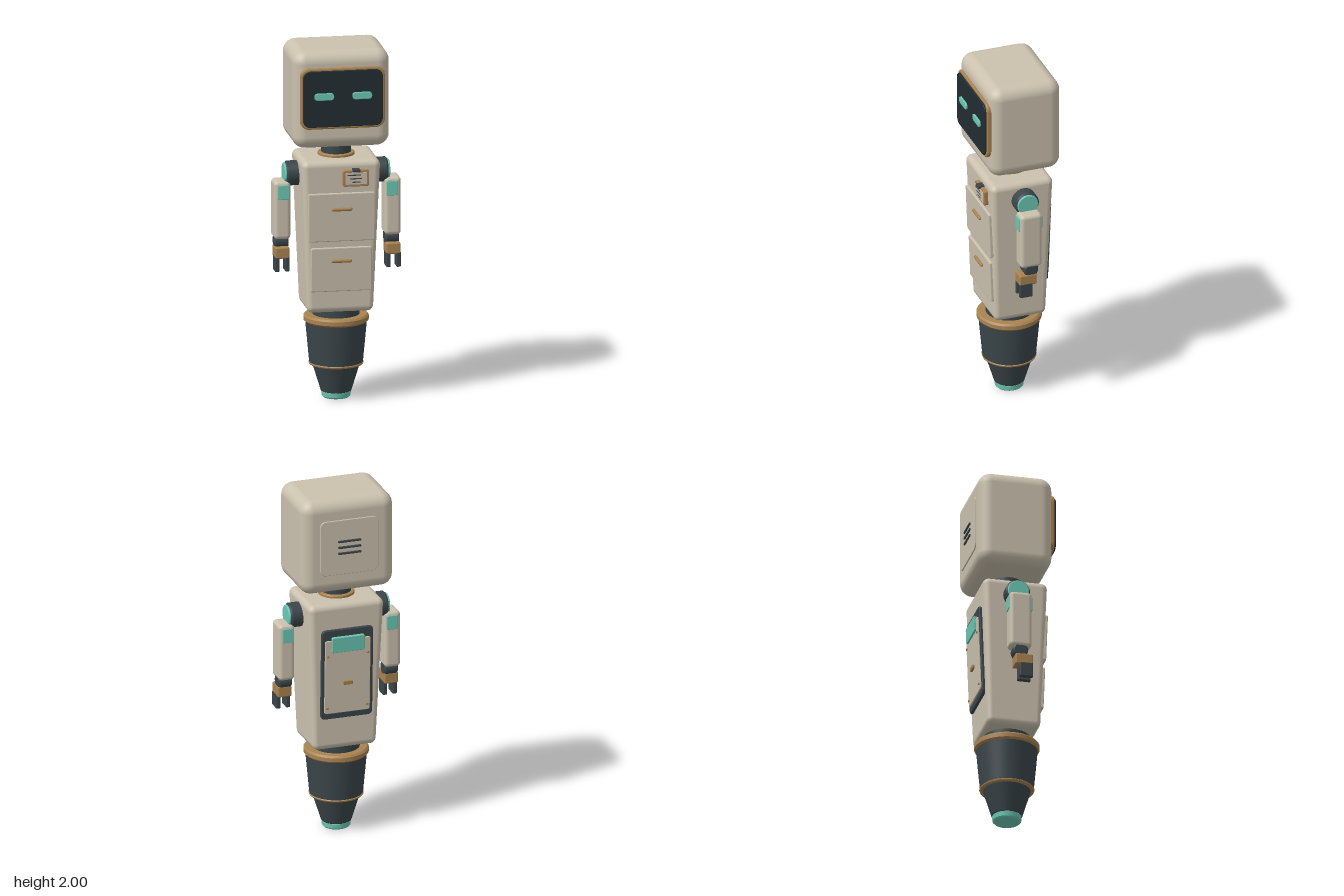
import * as THREE from 'three';
import { RoundedBoxGeometry } from 'three/addons/geometries/RoundedBoxGeometry.js';

const mat = (color) => new THREE.MeshStandardMaterial({ color });
const cream = mat(0xcbc1ae), dark = mat(0x3b464a), bronze = mat(0xa98350);
const teal = mat(0x6cc8b4), glass = mat(0x222d32);

function add(parent, name, geometry, material, x = 0, y = 0, z = 0) {
  const mesh = new THREE.Mesh(geometry, material);
  mesh.name = name;
  mesh.position.set(x, y, z);
  parent.add(mesh);
  return mesh;
}

const box = (w, h, d, r) => new RoundedBoxGeometry(w, h, d, 4, r);

// Flat plate with rounded corners and a small bevel, back at z = 0, front at z = d
function plate(w, h, d, r, bevel = 0.003) {
  const x = w / 2 - bevel, y = h / 2 - bevel, k = Math.max(r - bevel, 0.001);
  const s = new THREE.Shape();
  s.moveTo(-x + k, -y);
  s.absarc(x - k, -y + k, k, -Math.PI / 2, 0);
  s.absarc(x - k, y - k, k, 0, Math.PI / 2);
  s.absarc(-x + k, y - k, k, Math.PI / 2, Math.PI);
  s.absarc(-x + k, -y + k, k, Math.PI, Math.PI * 1.5);
  const g = new THREE.ExtrudeGeometry(s, {
    depth: d - 2 * bevel, bevelSize: bevel, bevelThickness: bevel, bevelSegments: 2, curveSegments: 8,
  });
  return g.translate(0, 0, bevel);
}

// Upright or sideways round part with a chamfered rim
function drum(rTop, rBottom, h, c = 0.004) {
  const pts = [[0, -h / 2], [rBottom - c, -h / 2], [rBottom - c, -h / 2], [rBottom, -h / 2 + c],
    [rBottom, -h / 2 + c], [rTop, h / 2 - c], [rTop, h / 2 - c], [rTop - c, h / 2], [rTop - c, h / 2], [0, h / 2]];
  return new THREE.LatheGeometry(pts.map(([x, y]) => new THREE.Vector2(x, y)), 40);
}

function makeHead() {
  const head = new THREE.Group();
  head.name = 'head';
  add(head, 'headShell', box(0.54, 0.55, 0.415, 0.07), cream, 0, 1.725, -0.012);
  add(head, 'faceFrame', plate(0.472, 0.345, 0.03, 0.05, 0.008), bronze, 0, 1.74, 0.18);
  add(head, 'faceScreen', plate(0.444, 0.317, 0.02, 0.04), glass, 0, 1.74, 0.2);
  for (const s of [-1, 1]) add(head, 'eye', plate(0.11, 0.04, 0.015, 0.018), teal, s * 0.106, 1.755, 0.215);
  const back = new THREE.Group();
  back.name = 'rearHeadPanel';
  back.position.set(0, 1.725, -0.21);
  back.rotation.y = Math.PI;
  add(back, 'panel', plate(0.34, 0.32, 0.016, 0.035), cream);
  for (const i of [-1, 0, 1]) add(back, 'ventSlat', plate(0.134, 0.012, 0.012, 0.005, 0.002), dark, 0, i * 0.035, 0.012);
  head.add(back);
  return head;
}

function makeTorso() {
  const torso = new THREE.Group();
  torso.name = 'torso';
  const H = 0.865, mid = 0.51 + H / 2;

  // Rounded block narrowing towards the bottom
  const body = box(0.44, H, 0.365, 0.035);
  const p = body.attributes.position;
  for (let i = 0; i < p.count; i++) {
    const t = p.getY(i) / H + 0.5;
    p.setX(i, p.getX(i) * (0.835 + 0.165 * t));
    p.setZ(i, p.getZ(i) * (0.82 + 0.18 * t) - 0.006);
  }
  add(torso, 'body', body, cream, 0, mid, 0);

  // Fittings lean with the sloping front and back walls
  const front = new THREE.Group(), back = new THREE.Group();
  front.name = 'frontFittings';
  front.position.set(0, mid, 0.16);
  front.rotation.x = 0.038;
  back.name = 'rearHatch';
  back.position.set(0, mid, -0.172);
  back.rotation.set(0.038, Math.PI, 0, 'YXZ');
  torso.add(front, back);

  for (const [w, h, y, handleY] of [[0.372, 0.275, 1.058, 1.105], [0.34, 0.25, 0.76, 0.81]]) {
    add(front, 'drawer', plate(w, h, 0.022, 0.01, 0.005), cream, 0, y - mid, -0.008);
    const handle = add(front, 'drawerHandle', new THREE.CapsuleGeometry(0.01, 0.096, 4, 12), bronze, 0, handleY - mid, 0.018);
    handle.rotation.z = Math.PI / 2;
  }

  // Chest badge with ruled strips
  const badge = new THREE.Group();
  badge.name = 'chestBadge';
  badge.position.set(0.077, 1.28 - mid, -0.005);
  add(badge, 'badgeFrame', plate(0.146, 0.092, 0.028, 0.012), bronze);
  add(badge, 'badgeFace', plate(0.12, 0.068, 0.006, 0.006, 0.001), cream, 0, 0, 0.025);
  [0.075, 0.066, 0.045].forEach((w, i) =>
    add(badge, 'badgeStrip', plate(w, 0.006, 0.004, 0.002, 0.001), dark, [-0.012, -0.002, 0][i], 0.02 - i * 0.02, 0.029));
  add(badge, 'badgeClip', plate(0.042, 0.018, 0.035, 0.004), dark, 0, 0.046, 0.005);
  front.add(badge);

  add(back, 'hatchSurround', plate(0.3, 0.53, 0.02, 0.025, 0.005), dark, 0, 0.965 - mid, -0.004);
  add(back, 'hatchDoor', plate(0.264, 0.435, 0.012, 0.012), cream, 0, 0.953 - mid, 0.012);
  add(back, 'hatchGrip', plate(0.19, 0.09, 0.022, 0.01), teal, 0, 1.145 - mid, 0.012);
  add(back, 'hatchLatch', plate(0.056, 0.024, 0.018, 0.008), bronze, 0, 0.915 - mid, 0.018);
  for (const x of [-0.116, 0.116]) for (const y of [0.77, 1.08]) {
    const screw = add(back, 'hatchScrew', drum(0.007, 0.007, 0.008, 0.001), bronze, x, y - mid, 0.025);
    screw.rotation.x = Math.PI / 2;
  }
  return torso;
}

function makeArm(side) {
  const arm = new THREE.Group();
  arm.name = side > 0 ? 'leftArm' : 'rightArm';
  const z = -0.009;
  const across = (name, r, w, m, x, y, c) => {
    add(arm, name, drum(r, r, w, c), m, side * x, y, z).rotation.z = Math.PI / 2;
  };
  across('shoulderJoint', 0.069, 0.11, dark, 0.232, 1.275, 0.012);
  across('shoulderCap', 0.06, 0.02, teal, 0.284, 1.275, 0.004);
  add(arm, 'armShell', box(0.092, 0.328, 0.126, 0.022), cream, side * 0.308, 1.077, z);
  add(arm, 'frontArmPatch', plate(0.064, 0.082, 0.01, 0.008), teal, side * 0.303, 1.18, z + 0.058);
  add(arm, 'rearArmPatch', plate(0.064, 0.082, 0.01, 0.008), teal, side * 0.303, 1.18, z - 0.058).rotation.y = Math.PI;
  across('wrist', 0.042, 0.078, dark, 0.308, 0.895, 0.008);
  add(arm, 'hand', box(0.08, 0.064, 0.1, 0.008), bronze, side * 0.31, 0.838, 0.01);
  for (const x of [0.282, 0.339])
    add(arm, 'finger', box(0.025, 0.085, 0.075, 0.006), dark, side * x, 0.775, 0.022);
  return arm;
}

export function createModel() {
  const robot = new THREE.Group();
  robot.name = 'robot';
  robot.add(makeHead(), makeTorso(), makeArm(1), makeArm(-1));

  // Neck and tapered base: name, top radius, bottom radius, bottom, top
  const z = -0.005;
  const rounds = [
    ['neck', 0.082, 0.082, 1.36, 1.47, dark],
    ['neckCollar', 0.102, 0.102, 1.365, 1.39, bronze],
    ['waist', 0.13, 0.13, 0.45, 0.53, dark],
    ['baseRim', 0.18, 0.18, 0.43, 0.472, bronze, 0.01],
    ['upperBase', 0.17, 0.148, 0.195, 0.44, dark],
    ['baseRing', 0.152, 0.15, 0.188, 0.202, bronze],
    ['lowerBase', 0.132, 0.085, 0.035, 0.195, dark],
    ['foot', 0.082, 0.079, 0, 0.042, teal, 0.008],
  ];
  for (const [name, rTop, rBottom, y0, y1, m, c] of rounds)
    add(robot, name, drum(rTop, rBottom, y1 - y0, c), m, 0, (y0 + y1) / 2, z);
  return robot;
}
